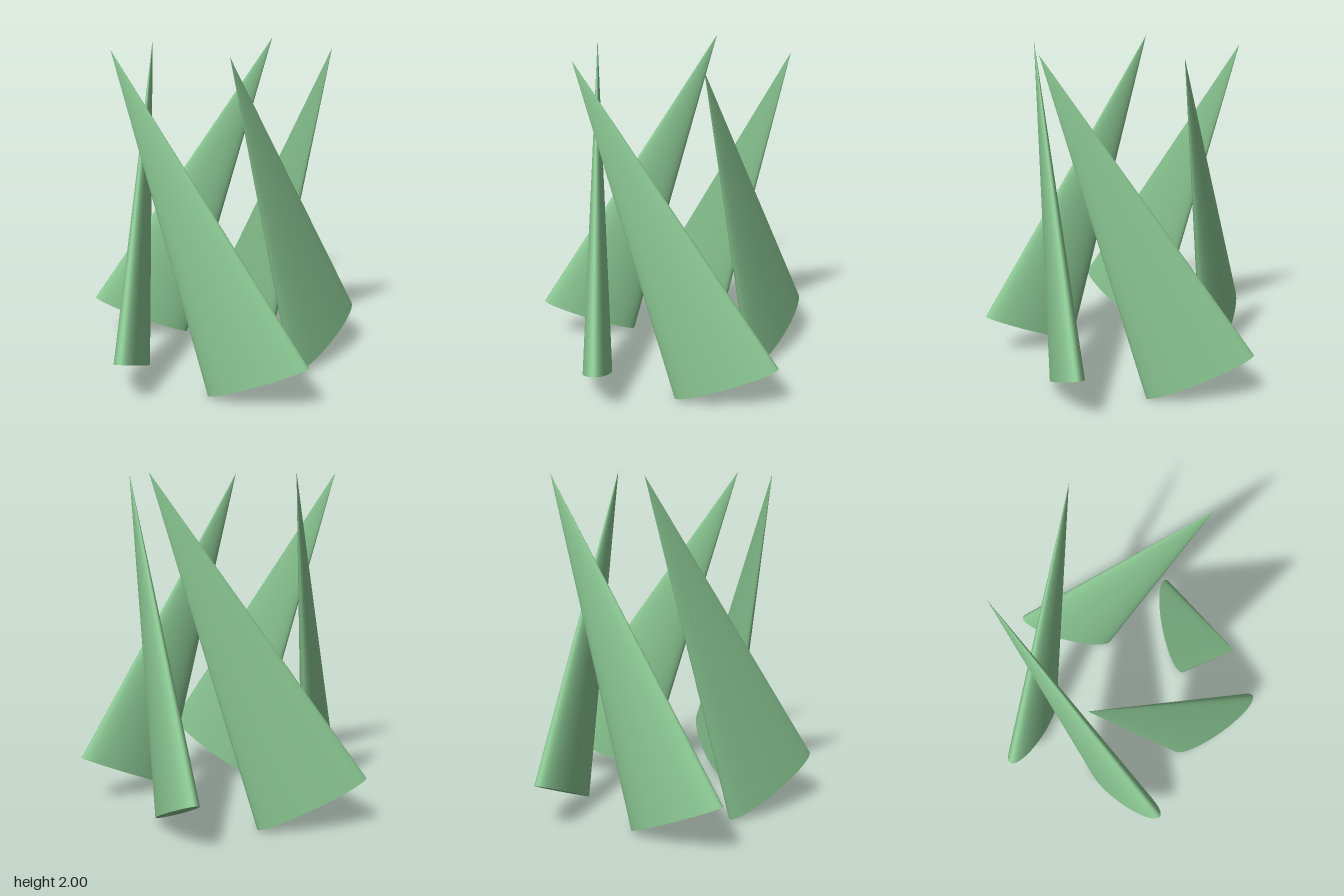
import * as THREE from 'three';

export function createModel() {
  const group = new THREE.Group();
  const leafGreen = new THREE.MeshStandardMaterial({ color: 0x8bc893 });
  leafGreen.name = 'leafGreen';

  // One flattened cone shape, shared by all five blades
  const height = 2.056, radius = 0.343, flatness = 0.25;
  const lean = 0.45, ringRadius = 0.48;
  const cone = new THREE.ConeGeometry(radius, height, 64);

  // Pinwheel ring: every blade leans along the ring's tangent
  const ring = new THREE.Group();
  ring.name = 'bladeRing';
  ring.position.set(-0.01, 0, -0.075);
  for (let i = 0; i < 5; i++) {
    const arm = new THREE.Group();
    arm.name = `bladeArm${i + 1}`;
    arm.rotation.y = (i * Math.PI * 2) / 5;
    const blade = new THREE.Mesh(cone, leafGreen);
    blade.name = `blade${i + 1}`;
    blade.scale.x = flatness;
    blade.rotation.x = lean;
    blade.position.set(ringRadius, (height / 2) * Math.cos(lean) + radius * Math.sin(lean), 0);
    arm.add(blade);
    ring.add(arm);
  }
  group.add(ring);
  return group;
}
